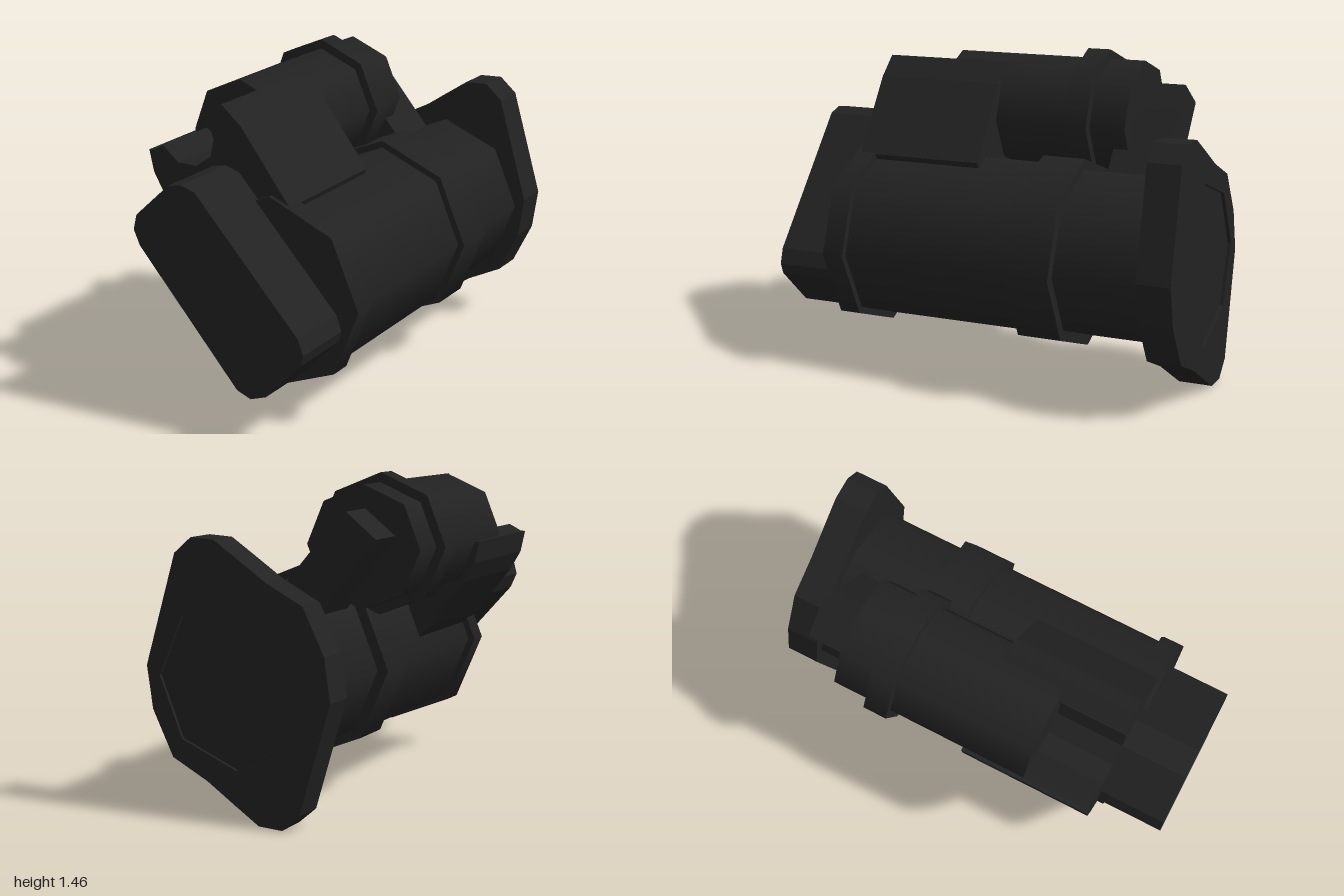
import * as THREE from 'three';

const TILT = 0.029; // whole unit leans slightly about x
const AXIS = { x: 0.12, y: 0.58 }; // motor axis
const SOLENOID = { x: -0.26, y: 1.135 }; // solenoid axis

export function createModel() {
  const model = new THREE.Group();
  const body = new THREE.Group();
  body.name = 'starterMotor';
  body.rotation.x = TILT;
  body.position.z = -0.6 * TILT;
  model.add(body);
  const material = new THREE.MeshStandardMaterial({ color: 0x222222 });

  function add(name, geometry) {
    const mesh = new THREE.Mesh(geometry, material);
    mesh.name = name;
    body.add(mesh);
  }

  // eight-sided drum lying along z, with a corner pointing up
  function drum(name, axis, radius, z0, z1) {
    const g = new THREE.CylinderGeometry(radius, radius, z1 - z0, 8);
    g.rotateX(Math.PI / 2);
    g.translate(axis.x, axis.y, (z0 + z1) / 2);
    add(name, g);
  }

  // flat outline extruded along z
  function plate(name, points, z0, z1, hole) {
    const toVectors = (list) => list.map(([x, y]) => new THREE.Vector2(x, y));
    const shape = new THREE.Shape(toVectors(points));
    if (hole) shape.holes.push(new THREE.Path(toVectors(hole)));
    const g = new THREE.ExtrudeGeometry(shape, { depth: z1 - z0, bevelEnabled: false });
    g.translate(0, 0, z0);
    add(name, g);
  }

  // main motor
  drum('motorBody', AXIS, 0.408, -0.23, 0.62);
  drum('frontCollar', AXIS, 0.44, 0.595, 0.695);
  drum('rearCollar', AXIS, 0.44, -0.425, -0.22);
  drum('rearHousing', AXIS, 0.39, -0.97, -0.4);

  // slanted end cover
  plate('endCover', [
    [-0.39, 0.87], [-0.37, 0.94], [-0.19, 1.1], [-0.12, 1.115], [-0.05, 1.095],
    [0.45, 0.55], [0.475, 0.48], [0.46, 0.43], [0.28, 0.245], [0.2, 0.215],
    [0.13, 0.24], [-0.36, 0.8],
  ], 0.6, 0.985);

  // mounting flange: half an outline, repeated by a half turn, with an octagonal bore
  const half = [
    [-0.02, 1.01], [0.1, 1.09], [0.23, 1.175], [0.34, 1.18], [0.42, 1.11],
    [0.56, 0.62], [0.53, 0.43],
  ];
  const corner = [0.43, 0.23];
  const side = [...half, corner];
  const turned = side.map(([x, y]) => [0.24 - x, 1.154 - y]);
  const bore = [];
  for (let i = 0; i < 8; i++) {
    const a = (i * Math.PI) / 4;
    bore.push([AXIS.x + 0.375 * Math.cos(a), AXIS.y + 0.375 * Math.sin(a)]);
  }
  plate('mountingFlange', [...side, ...turned], -0.985, -0.83, bore);

  // solenoid
  drum('solenoidBody', SOLENOID, 0.267, -0.57, 0.36);
  drum('solenoidCollar', SOLENOID, 0.31, -0.4, -0.29);

  // cradle with a round bite for the solenoid
  plate('solenoidCradle', [
    [-0.54, 1.12], [-0.52, 1.12], [-0.46, 1.15], [-0.38, 1.085], [-0.28, 1.085],
    [-0.2, 1.14], [-0.18, 1.22], [-0.21, 1.32], [-0.13, 1.385], [-0.03, 1.3],
    [0.21, 0.98], [0.1, 0.7], [-0.2, 0.6], [-0.3, 0.71], [-0.47, 0.93], [-0.52, 1.02],
  ], 0.065, 0.675);

  // lever housing behind the solenoid
  plate('leverHousing', [
    [-0.41, 1.19], [-0.27, 1.3], [-0.17, 1.2], [0.08, 0.9], [-0.08, 0.76],
  ], -0.76, -0.5);

  return model;
}
